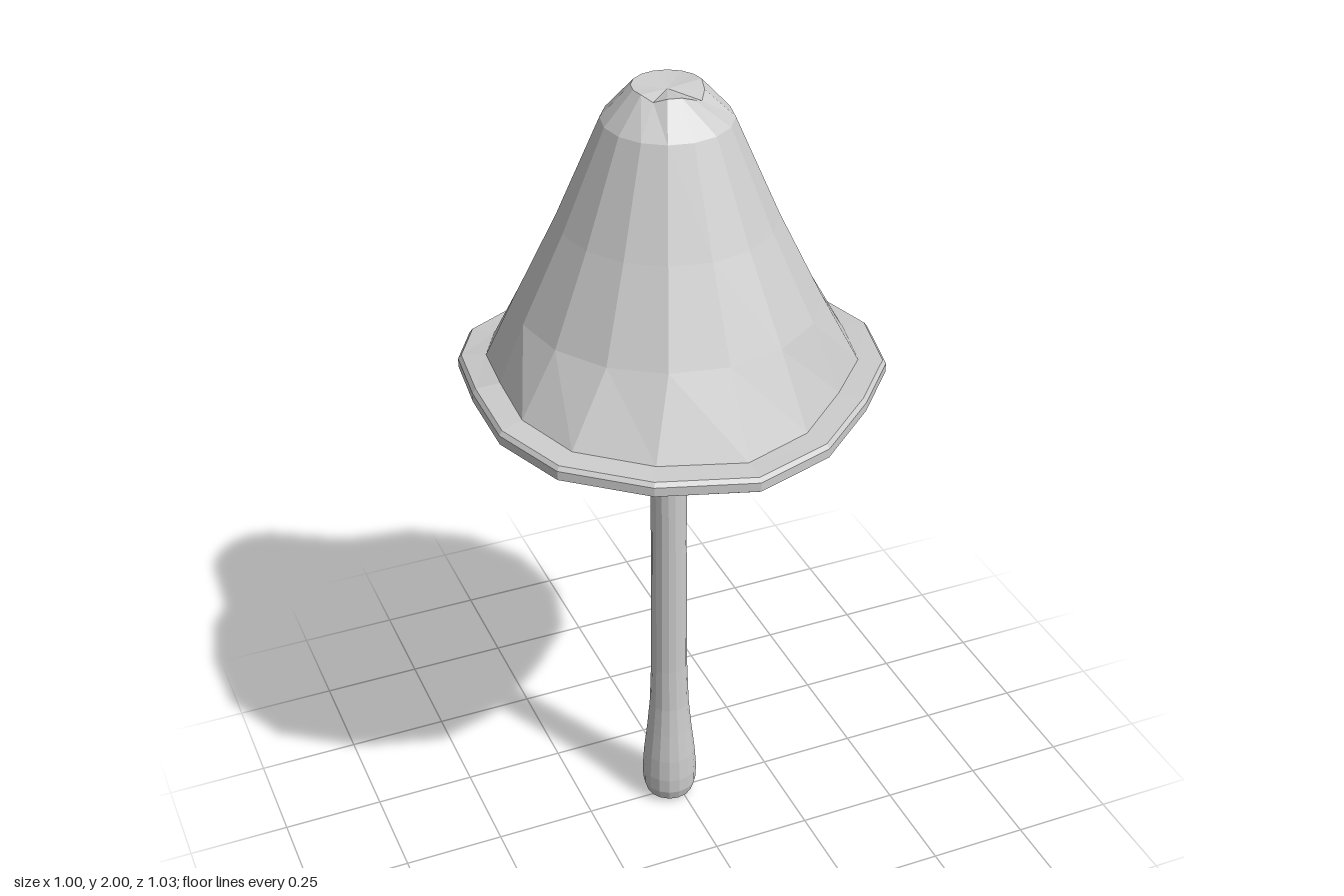
import * as THREE from 'three';

const material = new THREE.MeshStandardMaterial({ color: 0xcccccc, flatShading: true });
const SIDES = 16;
const CX = -0.024, CZ = -0.008;

// Uneven outer edge of the brim, [x, z, mid height], from the back round by the left side
const BRIM = [
  [-0.02, -0.515, 1.25], [0.18, -0.48, 1.255], [0.345, -0.37, 1.26], [0.455, -0.205, 1.27],
  [0.495, -0.01, 1.28], [0.45, 0.175, 1.285], [0.325, 0.32, 1.29], [0.165, 0.455, 1.285],
  [-0.025, 0.512, 1.28], [-0.25, 0.455, 1.29], [-0.425, 0.335, 1.305], [-0.5, 0.175, 1.32],
  [-0.5, -0.01, 1.325], [-0.47, -0.21, 1.3], [-0.39, -0.37, 1.27], [-0.22, -0.48, 1.255],
];

// Dips in the edge of the flattened tip, by side number
const TIP_DIP = { 5: 0.012, 6: 0.025, 7: 0.012, 10: 0.01 };

// Ring of the crown: circular, at a fixed radius and height
const crownRing = (r, y, dip = {}) => BRIM.map((_, j) => {
  const a = (j / SIDES) * Math.PI * 2;
  return [CX + r * Math.sin(a), y - (dip[j] || 0), CZ - r * Math.cos(a)];
});

// Ring of the brim: its outline drawn in by an inset and shifted in height
const brimRing = (inset, dy) => BRIM.map(([x, z, y]) => {
  const dx = x - CX, dz = z - CZ;
  const k = 1 - inset / Math.hypot(dx, dz);
  return [CX + dx * k, y + dy, CZ + dz * k];
});

// Skin a list of rings, each with SIDES points
function loft(rings) {
  const index = [];
  for (let i = 0; i < rings.length - 1; i++) {
    for (let j = 0; j < SIDES; j++) {
      const k = (j + 1) % SIDES;
      const a = i * SIDES + j, b = i * SIDES + k;
      const c = a + SIDES, d = b + SIDES;
      index.push(a, b, c, b, d, c);
    }
  }
  const geometry = new THREE.BufferGeometry();
  geometry.setAttribute('position', new THREE.Float32BufferAttribute(rings.flat(2), 3));
  geometry.setIndex(index);
  geometry.computeVertexNormals();
  return geometry;
}

export function createModel() {
  const model = new THREE.Group();

  // Hollow cap: outer crown, rolled brim, then the inside wall back up
  const cap = new THREE.Mesh(loft([
    crownRing(0, 1.99),
    crownRing(0.08, 2, TIP_DIP),
    crownRing(0.148, 1.925),
    crownRing(0.25, 1.69),
    crownRing(0.35, 1.485),
    brimRing(0.066, 0.022),
    brimRing(0.008, 0.02),
    brimRing(0, 0.01),
    brimRing(0, -0.012),
    brimRing(0.012, -0.02),
    brimRing(0.095, -0.02),
    crownRing(0.32, 1.475),
    crownRing(0.22, 1.68),
    crownRing(0.12, 1.9),
    crownRing(0.06, 1.95),
    crownRing(0, 1.955),
  ]), material);
  cap.name = 'cap';
  model.add(cap);

  // Slender stem with a swollen foot
  const profile = [
    [0, 0], [0.045, 0], [0.06, 0.012], [0.069, 0.04], [0.07, 0.08], [0.066, 0.14], [0.057, 0.22],
    [0.05, 0.3], [0.046, 0.42], [0.044, 0.8], [0.044, 1.3], [0.044, 1.95], [0, 1.95],
  ].map(([r, y]) => new THREE.Vector2(r, y));
  const stem = new THREE.Mesh(new THREE.LatheGeometry(profile, SIDES), material);
  stem.name = 'stem';
  stem.position.set(CX, 0, CZ);
  model.add(stem);

  return model;
}
